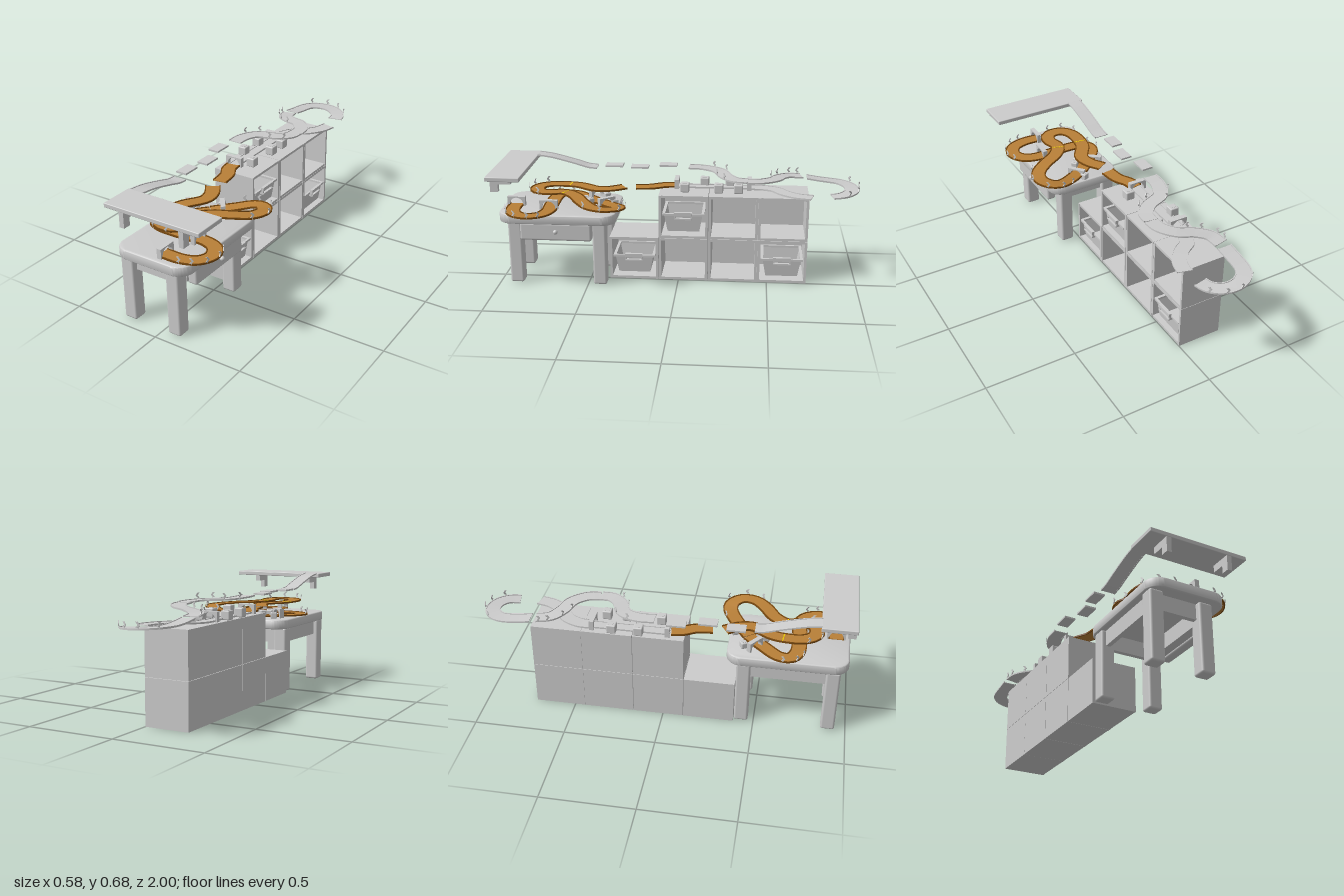
import * as THREE from 'three';
import { toCreasedNormals } from 'three/addons/utils/BufferGeometryUtils.js';
import { RoundedBoxGeometry } from 'three/addons/geometries/RoundedBoxGeometry.js';

const mat = (color, side = THREE.FrontSide) => new THREE.MeshStandardMaterial({ color, side });
const grey = mat(0xcccccc), thin = mat(0xcccccc, THREE.DoubleSide);
const brown = mat(0xb98038), darkBrown = mat(0x7a4a10), yellow = mat(0xffe000);

function add(parent, name, geo, material = grey, x = 0, y = 0, z = 0) {
  const m = new THREE.Mesh(geo, material);
  m.name = name;
  m.position.set(x, y, z);
  parent.add(m);
  return m;
}

// box given by its limits; r rounds the edges
function box(parent, name, x0, x1, y0, y1, z0, z1, r = 0, material = grey) {
  const s = [x1 - x0, y1 - y0, z1 - z0];
  const geo = r ? new RoundedBoxGeometry(...s, 3, r) : new THREE.BoxGeometry(...s);
  return add(parent, name, geo, material, (x0 + x1) / 2, (y0 + y1) / 2, (z0 + z1) / 2);
}

function group(parent, name) {
  const g = new THREE.Group();
  g.name = name;
  parent.add(g);
  return g;
}

// position and level sideways direction at t
function frame(curve, t) {
  const p = curve.getPointAt(t), d = curve.getTangentAt(t);
  return { p, s: new THREE.Vector3(d.z, 0, -d.x).normalize() };
}

// rectangular section swept along a curve and kept level
function sweep(curve, u0, u1, v0, v1, n = 60) {
  const pos = [], index = [], section = [[u0, v0], [u1, v0], [u1, v1], [u0, v1]];
  for (let i = 0; i <= n; i++) {
    const { p, s } = frame(curve, i / n);
    for (const [u, v] of section) pos.push(p.x + s.x * u, p.y + v, p.z + s.z * u);
  }
  for (let i = 0; i < n; i++) for (let j = 0; j < 4; j++) {
    const a = i * 4 + j, b = i * 4 + (j + 1) % 4;
    index.push(a, b, b + 4, a, b + 4, a + 4);
  }
  const e = n * 4;
  index.push(0, 2, 1, 0, 3, 2, e, e + 1, e + 2, e, e + 2, e + 3);
  const geo = new THREE.BufferGeometry();
  geo.setAttribute('position', new THREE.Float32BufferAttribute(pos, 3));
  geo.setIndex(index);
  return toCreasedNormals(geo, 0.6);
}

// arrow sign standing at the edge of a track
const arrow = new THREE.Shape([[-0.011, 0], [0, 0], [0.011, 0.014], [0, 0.028], [-0.011, 0.028], [0, 0.014]]
  .map(([x, y]) => new THREE.Vector2(x, y)));
const arrowGeo = new THREE.ExtrudeGeometry(arrow, { depth: 0.004, bevelEnabled: false });

// points are [x, y, z]; signs are [t, side]
function track(parent, name, points, isBrown, signs = [], w = 0.08) {
  const g = group(parent, name);
  const curve = new THREE.CatmullRomCurve3(points.map(p => new THREE.Vector3(...p)), false, 'centripetal');
  add(g, 'roadDeck', sweep(curve, -w / 2, w / 2, -0.003, 0.001), isBrown ? brown : grey);
  for (const e of [-1, 1]) {
    const c = e * (w / 2 - 0.002);
    add(g, 'roadEdge', sweep(curve, c - 0.003, c + 0.003, -0.004, 0.005), isBrown ? darkBrown : grey);
  }
  for (const [t, side] of signs) {
    const { p, s } = frame(curve, t);
    const m = add(g, 'arrowSign', arrowGeo, grey, p.x + s.x * side * w / 2, p.y + 0.008, p.z + s.z * side * w / 2);
    m.rotation.y = Math.atan2(s.x * side, s.z * side);
    const post = add(g, 'signPost', new THREE.BoxGeometry(0.003, 0.012, 0.003), grey);
    post.position.copy(m.position).setY(p.y + 0.005);
  }
  return { g, curve };
}

// toy bridge block, opening along its local z
function arch(parent, x, y, z, angle, w = 0.1, h = 0.05, d = 0.025) {
  const s = new THREE.Shape();
  s.moveTo(-w / 2, 0).lineTo(-w * 0.38, 0).lineTo(-w * 0.38, h * 0.2);
  s.absarc(0, h * 0.2, w * 0.38, Math.PI, 0, true);
  s.lineTo(w * 0.38, 0).lineTo(w / 2, 0).lineTo(w / 2, h * 1.08).lineTo(-w / 2, h * 1.08).closePath();
  const geo = new THREE.ExtrudeGeometry(s, { depth: d, bevelEnabled: false, curveSegments: 10 }).translate(0, 0, -d / 2);
  add(parent, 'archBlock', geo, grey, x, y, z).rotation.y = angle;
}

function block(parent, x, y, z, angle = 0, s = 0.05) {
  const m = add(parent, 'toyBlock', new RoundedBoxGeometry(s, s, s, 2, 0.006), grey, x, y + s / 2, z);
  m.rotation.y = angle;
  add(m, 'blockInset', new THREE.BoxGeometry(s * 0.5, 0.003, s * 0.5), grey, 0, s / 2, 0);
}

function table(root) {
  const g = group(root, 'table');
  // top with round corners
  const x0 = -0.24, x1 = 0.17, z0 = 0.345, z1 = 0.97, r = 0.07;
  const s = new THREE.Shape();
  s.absarc(x1 - r, z1 - r, r, 0, Math.PI / 2).absarc(x0 + r, z1 - r, r, Math.PI / 2, Math.PI);
  s.absarc(x0 + r, z0 + r, r, Math.PI, Math.PI * 1.5).absarc(x1 - r, z0 + r, r, Math.PI * 1.5, Math.PI * 2);
  const top = new THREE.ExtrudeGeometry(s, { depth: 0.033, bevelSize: 0.011, bevelThickness: 0.011, bevelSegments: 4, curveSegments: 10 });
  add(g, 'tableTop', toCreasedNormals(top.rotateX(Math.PI / 2), 0.7), grey, 0, 0.419, 0);
  for (const x of [-0.24, 0.035]) for (const z of [0.393, 0.865])
    box(g, 'tableLeg', x, x + 0.076, 0.003, 0.38, z, z + 0.076, 0.012);
  // aprons and drawer
  for (const z of [0.42, 0.885]) box(g, 'endApron', -0.17, 0.04, 0.29, 0.378, z, z + 0.025);
  box(g, 'sideApron', -0.215, -0.19, 0.29, 0.378, 0.46, 0.87);
  box(g, 'drawerFront', 0.11, 0.163, 0.277, 0.378, 0.465, 0.86, 0.012);
  box(g, 'drawerRail', 0.06, 0.112, 0.29, 0.378, 0.46, 0.87);
  add(g, 'drawerKnob', new THREE.SphereGeometry(0.013, 20, 14), grey, 0.175, 0.333, 0.66);
}

function bin(parent, y, z) {
  const g = group(parent, 'storageBin');
  const geo = new THREE.BoxGeometry(0.21, 0.1, 0.215), p = geo.attributes.position;
  for (let i = 0; i < p.count; i++) if (p.getY(i) < 0) { p.setX(i, p.getX(i) * 0.9); p.setZ(i, p.getZ(i) * 0.83); }
  const idx = [...geo.index.array];
  idx.splice(12, 6); // open top
  geo.setIndex(idx);
  add(g, 'binBody', geo.toNonIndexed(), thin, -0.118, y + 0.072, z).geometry.computeVertexNormals();
  for (const e of [-1, 1]) {
    box(g, 'binSideRim', -0.23, -0.004, y + 0.118, y + 0.13, z + e * 0.11 - 0.008, z + e * 0.11 + 0.008);
    box(g, 'binEndRim', -0.117 + e * 0.108 - 0.006, -0.117 + e * 0.108 + 0.006, y + 0.118, y + 0.13, z - 0.11, z + 0.11);
    box(g, 'handleSide', -0.012, 0.008, y + 0.1, y + 0.13, z + e * 0.045 - 0.004, z + e * 0.045 + 0.004);
  }
  box(g, 'binHandle', -0.006, 0.012, y + 0.1, y + 0.108, z - 0.049, z + 0.049);
  box(g, 'handleTop', -0.006, 0.012, y + 0.122, y + 0.142, z - 0.049, z + 0.049);
}

function shelves(root) {
  const g = group(root, 'cubeShelves'), t = 0.014;
  [0.252, -0.027, -0.306, -0.583].forEach((z, i) => {
    for (const y of i ? [0, 0.251] : [0]) {
      const c = group(g, 'shelfCube'), a = z - 0.138, b = z + 0.138, h = y + 0.249;
      box(c, 'cubeFloor', -0.25, -0.003, y, y + t, a, b);
      box(c, 'cubeRoof', -0.25, -0.003, h - t, h, a, b);
      box(c, 'cubeBack', -0.25, -0.24, y, h, a, b);
      for (const w of [a, b - t]) box(c, 'cubeSide', -0.25, -0.001, y, h, w, w + t);
    }
  });
  bin(g, 0.012, 0.252);
  bin(g, 0.265, -0.027);
  bin(g, 0.012, -0.583);
}

function blocks(root) {
  const g = group(root, 'toyBlocks');
  for (const [x, z] of [[-0.22, -0.28], [-0.095, -0.03], [-0.09, -0.33], [-0.22, -0.135], [-0.09, -0.22]]) block(g, x, 0.5, z);
  arch(g, -0.18, 0.5, 0.02, 0, 0.1);
  arch(g, -0.18, 0.5, -0.39, 0, 0.1);
  arch(g, 0.072, 0.43, 0.712, Math.PI / 2);
  arch(g, 0.018, 0.43, 0.905, Math.PI / 2);
  arch(g, -0.15, 0.43, 0.48, -0.65);
  arch(g, 0, 0.43, 0.40, -0.9);
  for (const [x, z, a] of [[-0.15, 0.42, 0.5], [-0.03, 0.36, 0.4], [-0.07, 0.53, 0.3], [-0.04, 0.5, 0.8]]) block(g, x, 0.43, z, a, 0.036);
}

function tracks(root) {
  const g = group(root, 'raceTrack');
  // high start board with stepped brackets
  box(g, 'startBoard', -0.265, 0.292, 0.648, 0.672, 0.815, 1, 0.004);
  for (const x of [-0.175, 0.175]) {
    box(g, 'bracketUpper', x, x + 0.027, 0.608, 0.65, 0.885, 0.998);
    box(g, 'bracketLower', x, x + 0.027, 0.565, 0.61, 0.955, 0.998);
  }
  track(g, 'startRamp', [[-0.21, 0.671, 0.82], [-0.21, 0.66, 0.74], [-0.21, 0.625, 0.6], [-0.21, 0.605, 0.53], [-0.21, 0.6, 0.48]]);
  // floating tiles
  [[-0.235, 0.385], [-0.208, 0.235], [-0.25, 0.075]].forEach(([x, z], i) =>
    box(g, 'floatingTile', x - 0.032, x + 0.032, 0.6 + i * 0.002, 0.61 + i * 0.002, z - 0.05, z + 0.05));
  // grey bends above the shelves
  track(g, 'upperBend', [[-0.222, 0.608, -0.045], [-0.22, 0.605, -0.13], [-0.18, 0.6, -0.215], [-0.075, 0.596, -0.265],
    [-0.03, 0.592, -0.315], [-0.022, 0.59, -0.38]], false, [[0.3, 1], [0.45, 1], [0.6, -1], [0.75, -1]]);
  track(g, 'middleBend', [[-0.022, 0.588, -0.38], [-0.032, 0.586, -0.45], [-0.09, 0.582, -0.525], [-0.17, 0.574, -0.56],
    [-0.23, 0.566, -0.61], [-0.247, 0.56, -0.685]], false, [[0.55, 1], [0.7, 1], [0.85, 1], [0.95, 1]]);
  const arc = [[-0.247, 0.555, -0.715], [-0.247, 0.545, -0.78]];
  for (let i = 0; i <= 8; i++) {
    const a = Math.PI * (1 - i / 8);
    arc.push([-0.13 + 0.115 * Math.cos(a), 0.538 - i * 0.003, -0.845 - 0.115 * Math.sin(a)]);
  }
  track(g, 'backBend', arc, false, [[0.45, 1], [0.6, 1], [0.72, 1], [0.85, 1]]);
  track(g, 'returnBend', [[0.0, 0.51, -0.735], [-0.02, 0.51, -0.66], [-0.07, 0.51, -0.59], [-0.14, 0.508, -0.54],
    [-0.175, 0.506, -0.47], [-0.18, 0.506, -0.4]]);
  track(g, 'shelfRoad', [[-0.18, 0.506, -0.4], [-0.18, 0.506, -0.18], [-0.18, 0.506, 0.03]], false, [], 0.06);
  // brown road down to the table
  track(g, 'bridgeRoad', [[-0.178, 0.51, 0.035], [-0.17, 0.51, 0.09], [-0.135, 0.51, 0.16], [-0.122, 0.51, 0.25]], true);
  const high = track(g, 'highLoop', [[-0.12, 0.51, 0.315], [-0.075, 0.51, 0.39], [-0.065, 0.51, 0.46], [-0.13, 0.51, 0.57],
    [-0.145, 0.51, 0.65], [-0.14, 0.51, 0.73], [-0.105, 0.51, 0.785], [-0.055, 0.51, 0.8], [-0.005, 0.51, 0.78], [0.015, 0.51, 0.72],
    [0.0, 0.51, 0.64], [0.05, 0.507, 0.57], [0.15, 0.502, 0.51], [0.22, 0.496, 0.45], [0.238, 0.492, 0.38],
    [0.2, 0.484, 0.325], [0.145, 0.475, 0.315], [0.05, 0.455, 0.365], [-0.05, 0.441, 0.44]], true,
  [[0.31, -1], [0.35, -1], [0.39, -1], [0.43, -1], [0.7, -1], [0.75, -1], [0.8, -1], [0.84, -1], [0.88, -1]]);
  track(g, 'lowLoop', [[-0.05, 0.438, 0.44], [-0.14, 0.436, 0.53], [-0.21, 0.436, 0.61], [-0.215, 0.436, 0.67], [-0.16, 0.436, 0.705],
    [0.0, 0.436, 0.71], [0.11, 0.436, 0.706], [0.185, 0.436, 0.735], [0.218, 0.436, 0.805], [0.185, 0.436, 0.875],
    [0.11, 0.436, 0.905], [0.0, 0.436, 0.905]], true,
  [[0.25, -1], [0.29, -1], [0.33, -1], [0.7, 1], [0.74, 1], [0.79, 1], [0.84, 1], [0.89, 1]]);
  // dashed lines across the road
  for (const t of [0.23, 0.52]) for (let k = -3; k <= 3; k++) {
    const { p, s } = frame(high.curve, t);
    add(high.g, 'roadDash', new THREE.BoxGeometry(0.006, 0.003, 0.006), yellow, p.x + s.x * k * 0.01, p.y + 0.002, p.z + s.z * k * 0.01);
  }
}

export function createModel() {
  const root = new THREE.Group();
  root.name = 'playroomRaceTrack';
  table(root);
  shelves(root);
  blocks(root);
  tracks(root);
  return root;
}
